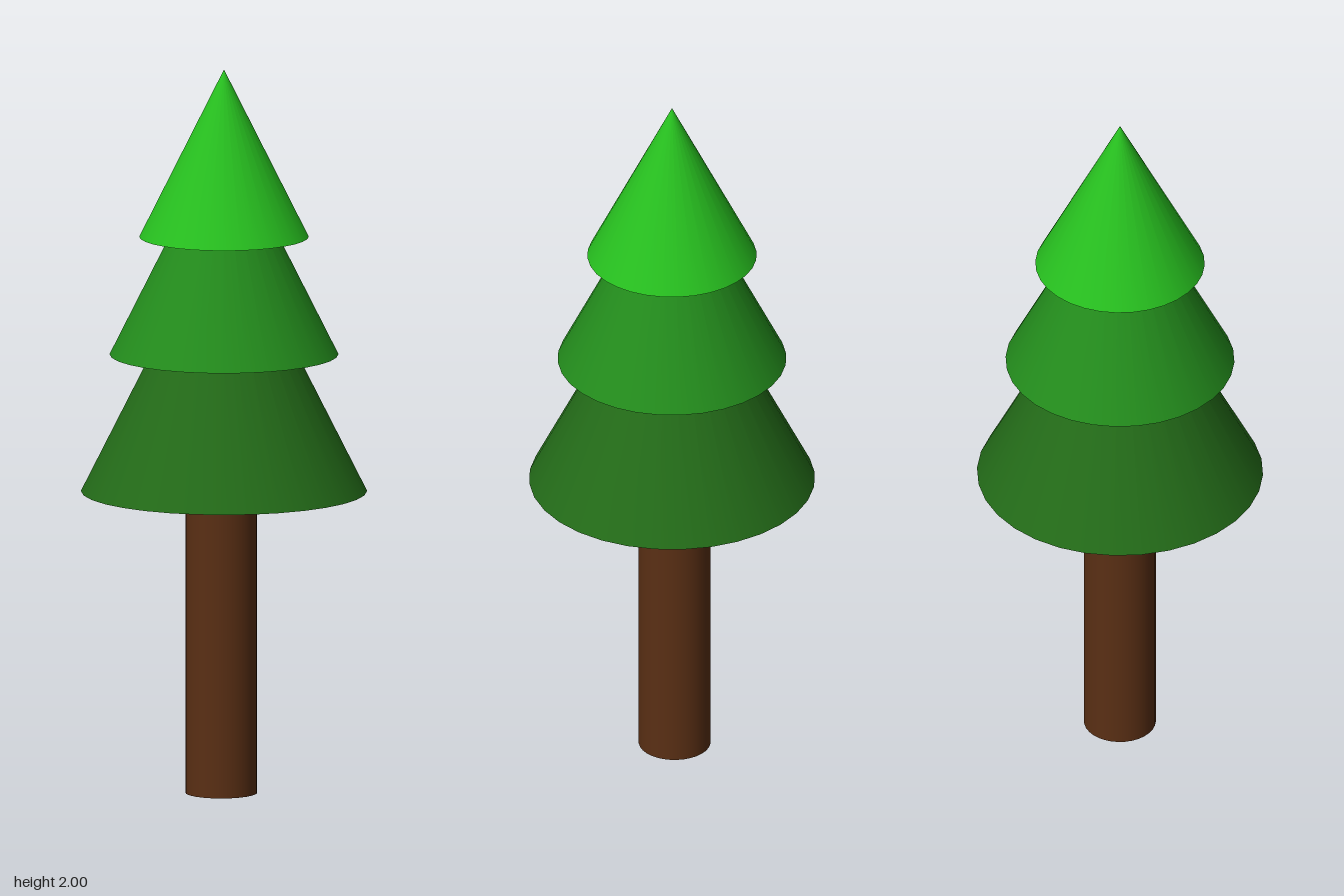
import * as THREE from 'three';

const SIDES = 32;

function addPart(group, name, geometry, color, x, y) {
  const mesh = new THREE.Mesh(geometry, new THREE.MeshStandardMaterial({ color }));
  mesh.name = name;
  mesh.position.set(x, y, 0);
  group.add(mesh);
}

export function createModel() {
  const tree = new THREE.Group();
  tree.name = 'pineTree';

  // Trunk, set very slightly off centre
  const trunkHeight = 0.84;
  addPart(tree, 'trunk', new THREE.CylinderGeometry(0.098, 0.098, trunkHeight, SIDES),
    0x5a2f14, -0.009, trunkHeight / 2);

  // Overlapping foliage cones, darker towards the bottom
  const tiers = [
    { name: 'lowerFoliage', radius: 0.39, base: 0.835, height: 0.775, color: 0x236b18 },
    { name: 'middleFoliage', radius: 0.312, base: 1.213, height: 0.622, color: 0x238c1c },
    { name: 'topFoliage', radius: 0.231, base: 1.538, height: 0.462, color: 0x27c01f },
  ];
  for (const { name, radius, base, height, color } of tiers) {
    addPart(tree, name, new THREE.ConeGeometry(radius, height, SIDES), color, 0, base + height / 2);
  }

  return tree;
}
